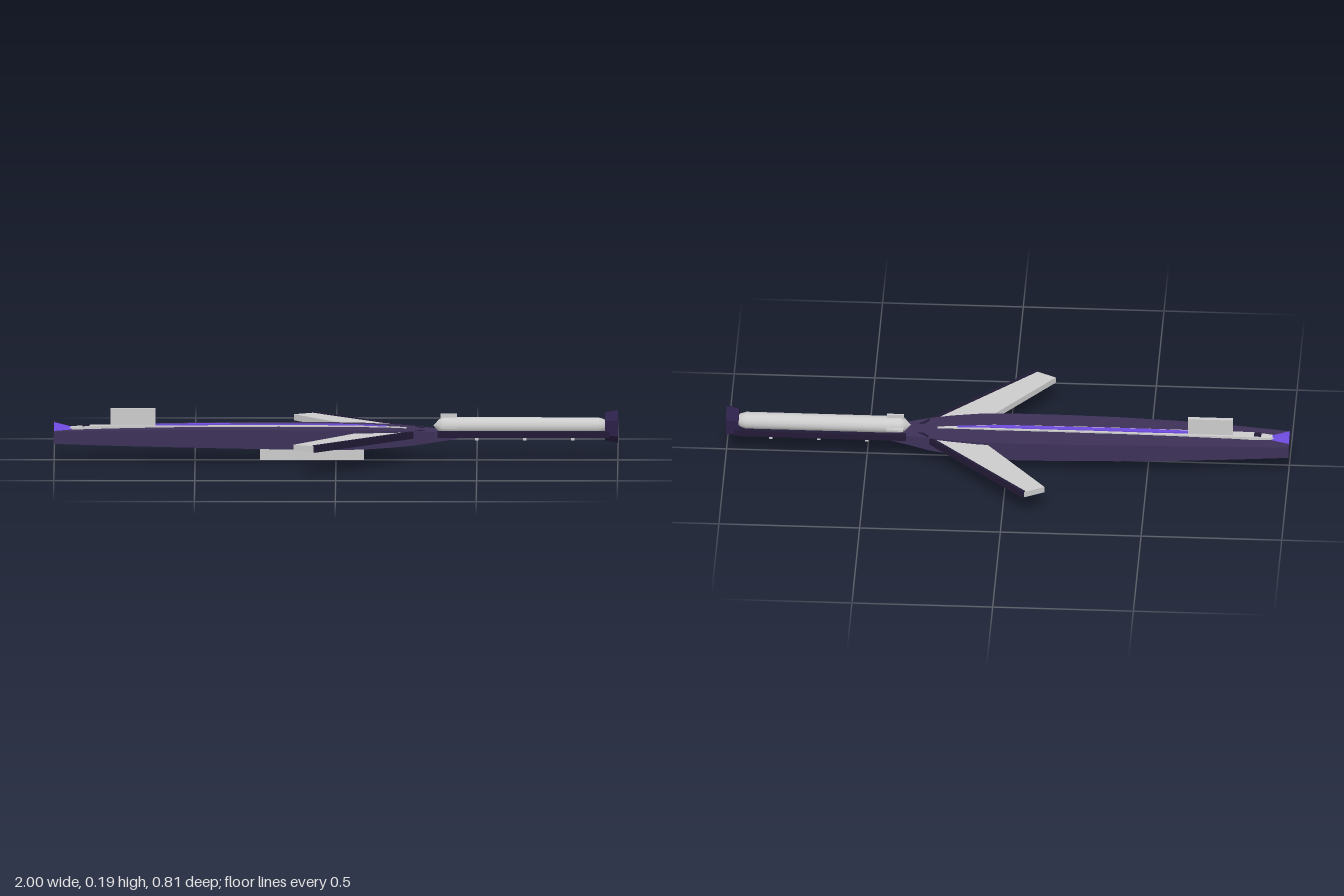
import * as THREE from 'three';

const mat = (color) => new THREE.MeshStandardMaterial({ color, flatShading: true, side: THREE.DoubleSide });

export function createModel() {
  const model = new THREE.Group();
  const grey = mat(0xcccccc), hullMat = mat(0x3d3158), dark = mat(0x221a36), violet = mat(0x6f4be0);
  const smoothGrey = new THREE.MeshStandardMaterial({ color: 0xcccccc });

  const add = (name, geo, material, x = 0, y = 0, z = 0) => {
    const mesh = new THREE.Mesh(geo, material);
    mesh.name = name;
    mesh.position.set(x, y, z);
    model.add(mesh);
    return mesh;
  };
  // box given by its min and max along each axis
  const box = (name, material, x0, x1, y0, y1, z0, z1) =>
    add(name, new THREE.BoxGeometry(x1 - x0, y1 - y0, z1 - z0), material, (x0 + x1) / 2, (y0 + y1) / 2, (z0 + z1) / 2);

  // loft of rectangular sections: [x, halfWidth, bottom, top]
  const loft = (sections) => {
    const pos = [], idx = [];
    sections.forEach(([x, w, b, t]) => pos.push(x, b, -w, x, b, w, x, t, w, x, t, -w));
    for (let i = 0; i < sections.length - 1; i++)
      for (let j = 0; j < 4; j++) {
        const a = i * 4 + j, b = i * 4 + (j + 1) % 4;
        idx.push(a, b, a + 4, b, b + 4, a + 4);
      }
    const e = (sections.length - 1) * 4;
    idx.push(0, 2, 1, 0, 3, 2, e, e + 1, e + 2, e, e + 2, e + 3);
    const geo = new THREE.BufferGeometry();
    geo.setAttribute('position', new THREE.Float32BufferAttribute(pos, 3));
    geo.setIndex(idx);
    const flat = geo.toNonIndexed();
    flat.computeVertexNormals();
    return flat;
  };

  // hull
  add('hull', loft([
    [-1, 0.055, 0.065, 0.108], [-0.8, 0.071, 0.061, 0.115], [-0.6, 0.085, 0.058, 0.119],
    [-0.4, 0.094, 0.055, 0.121], [-0.2, 0.099, 0.052, 0.121], [0, 0.1, 0.05, 0.12],
    [0.1, 0.095, 0.051, 0.119], [0.2, 0.082, 0.056, 0.116], [0.28, 0.068, 0.062, 0.112],
    [0.35, 0.05, 0.07, 0.107], [0.43, 0.034, 0.08, 0.1],
  ]), hullMat);

  // pale spine with a violet strip along the top
  add('spine', loft([
    [-0.95, 0.01, 0.1, 0.118], [-0.87, 0.018, 0.1, 0.123], [-0.3, 0.017, 0.1, 0.126],
    [0.05, 0.014, 0.1, 0.125], [0.25, 0.004, 0.1, 0.117],
  ]), grey);
  add('spineStrip', loft([
    [-0.78, 0.004, 0.11, 0.127], [-0.5, 0.009, 0.11, 0.13],
    [0, 0.008, 0.11, 0.129], [0.18, 0.003, 0.11, 0.124],
  ]), violet);
  box('spineLatch', dark, -0.9, -0.875, 0.115, 0.127, -0.01, 0.01);

  // flared tail nozzle
  const nozzle = new THREE.CylinderGeometry(0.005, 0.032, 0.1, 6);
  nozzle.rotateZ(-Math.PI / 2);
  add('tailNozzle', nozzle, violet, -0.95, 0.105, 0);

  // fins
  box('upperFin', grey, -0.8, -0.64, 0.11, 0.185, -0.008, 0.008);
  box('keelFin', grey, -0.27, 0.1, 0, 0.065, -0.008, 0.008);

  // plate from [x, z] corners, between two heights
  const plate = (name, points, y0, y1, material) => {
    const shape = new THREE.Shape(points.map(([x, z]) => new THREE.Vector2(x, -z)));
    const geo = new THREE.ExtrudeGeometry(shape, { depth: y1 - y0, bevelEnabled: false });
    geo.rotateX(-Math.PI / 2);
    add(name, geo, material, 0, y0, 0);
  };
  // swept wings with dark leading edges
  for (const [side, s] of [['left', -1], ['right', 1]]) {
    plate(side + 'Wing', [[0.31, 0.03 * s], [-0.08, 0.402 * s], [-0.15, 0.365 * s], [0.12, 0.03 * s]], 0.087, 0.109, grey);
    plate(side + 'WingEdge', [[0.316, 0.03 * s], [-0.073, 0.405 * s], [-0.083, 0.4 * s], [0.3, 0.03 * s]], 0.086, 0.112, dark);
  }

  // launch rail
  box('railFloor', dark, 0.36, 0.97, 0.085, 0.094, -0.04, 0.04);
  for (const s of [-1, 1])
    box('railSide', dark, 0.36, 0.97, 0.086, 0.109, s * 0.042 - 0.008, s * 0.042 + 0.008);
  for (const x of [0.5, 0.67, 0.84])
    box('railRung', grey, x - 0.006, x + 0.006, 0.076, 0.087, -0.045, 0.045);

  // missile with pointed ends and four small fins
  const profile = [[0, 0.345], [0.022, 0.365], [0.03, 0.38], [0.03, 0.93], [0.024, 0.95], [0, 0.98]]
    .map(([r, x]) => new THREE.Vector2(r, x));
  const missile = new THREE.LatheGeometry(profile, 20);
  missile.rotateZ(-Math.PI / 2);
  add('missile', missile, smoothGrey, 0, 0.123, 0);
  for (let i = 0; i < 4; i++) {
    const fin = new THREE.BoxGeometry(0.06, 0.02, 0.008);
    fin.translate(0.4, 0.032, 0);
    fin.rotateX(i * Math.PI / 2);
    add('missileFin', fin, grey, 0, 0.123, 0);
  }

  // flared hexagonal muzzle ring
  const ringProfile = [[0.036, 0.955], [0.05, 0.955], [0.059, 1], [0.042, 1], [0.036, 0.955]]
    .map(([r, x]) => new THREE.Vector2(r, x));
  const ring = new THREE.LatheGeometry(ringProfile, 6);
  ring.rotateZ(-Math.PI / 2);
  ring.rotateX(Math.PI / 6);
  add('muzzleRing', ring, mat(0x2b2047), 0, 0.12, 0);

  return model;
}
